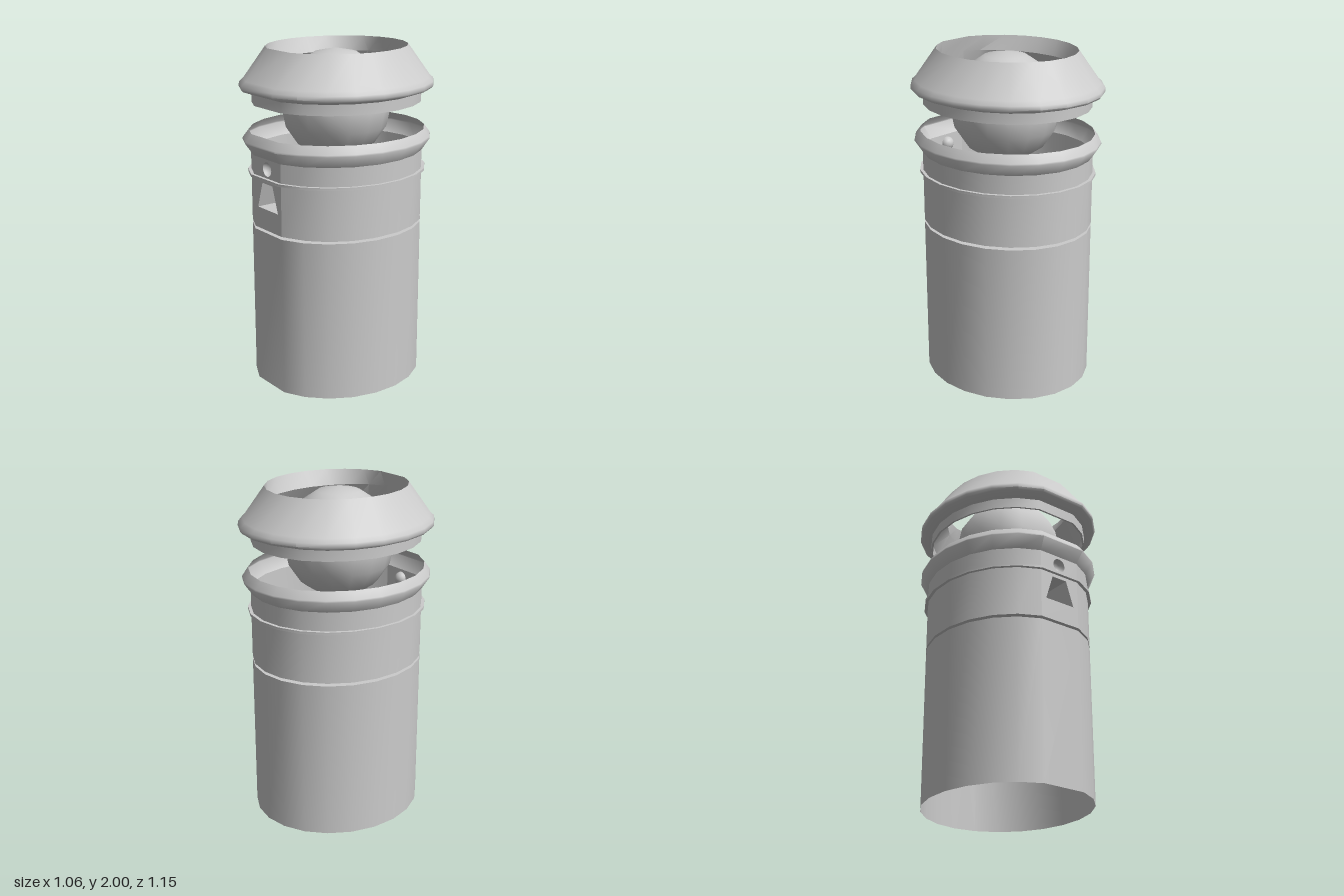
import * as THREE from 'three';
import { toCreasedNormals } from 'three/addons/utils/BufferGeometryUtils.js';

const material = new THREE.MeshStandardMaterial({ color: 0xcccccc, side: THREE.DoubleSide });
const STEP = (Math.PI * 2) / 22;
const CENTRE_Z = 0.01;
const DEPTH_RATIO = 1.1;

// Oval plan: 22 sides with the front corner left out, giving one wide flat front panel
const plan = [];
for (let i = 1; i <= 21; i++) plan.push([Math.sin(i * STEP), Math.cos(i * STEP)]);

// Sweeps a profile of [radiusX, y, radiusZ?] points around the oval plan
function ovalShell(profile, creaseAngle, openFront = false) {
  const positions = [];
  const index = [];
  const n = plan.length;
  for (const [rx, y, rz = rx * DEPTH_RATIO] of profile) {
    for (const [x, z] of plan) positions.push(x * rx, y, CENTRE_Z + z * rz);
  }
  for (let j = 0; j < profile.length - 1; j++) {
    for (let i = 0; i < (openFront ? n - 1 : n); i++) {
      const k = (i + 1) % n;
      const a = j * n + i, b = j * n + k, c = b + n, d = a + n;
      index.push(a, b, c, a, c, d);
    }
  }
  const geometry = new THREE.BufferGeometry();
  geometry.setAttribute('position', new THREE.Float32BufferAttribute(positions, 3));
  geometry.setIndex(index);
  return toCreasedNormals(geometry, creaseAngle);
}

export function createModel() {
  const group = new THREE.Group();
  const add = (name, geometry) => {
    const mesh = new THREE.Mesh(geometry, material);
    mesh.name = name;
    group.add(mesh);
    return mesh;
  };

  const R = 0.475;

  // Open lower tube with the narrow groove above it
  add('lowerTube', ovalShell([[R, 0], [R, 0.955], [0.435, 0.955], [0.435, 0.972], [R, 0.972]], 0.5));

  // Upper tube, with the front panel made separately
  add('upperTube', ovalShell([[R, 0.972], [R, 1.395]], 0.5, true));
  add('thinBand', ovalShell([[R, 1.27], [0.493, 1.27], [0.493, 1.285], [R, 1.285]], 0.5));
  add('collar', ovalShell([[R, 1.395], [0.52, 1.465], [0.517, 1.475], [0.485, 1.52]], 1.0));

  // Front panel with a trapezoid slot and a round hole
  const halfWidth = R * Math.sin(STEP);
  const frontZ = CENTRE_Z + R * DEPTH_RATIO * Math.cos(STEP);
  const panel = new THREE.Shape([
    new THREE.Vector2(-halfWidth, 0.972), new THREE.Vector2(halfWidth, 0.972),
    new THREE.Vector2(halfWidth, 1.395), new THREE.Vector2(-halfWidth, 1.395),
  ]);
  const slot = [[-0.1, 1.097], [0.1, 1.097], [0.05, 1.25], [-0.05, 1.25]];
  const slotPoints = slot.map(([x, y]) => new THREE.Vector2(x, y));
  const dentY = 1.338;
  const dentRadius = 0.042;
  panel.holes.push(new THREE.Path(slotPoints));
  panel.holes.push(new THREE.Path().absarc(0, dentY, dentRadius, 0, Math.PI * 2, true));
  add('frontPanel', new THREE.ShapeGeometry(panel, 8)).position.z = frontZ;

  // Walls and back of the slot, running straight into the tube
  const slotBackZ = 0.25;
  const walls = [];
  slot.forEach(([x0, y0], i) => {
    const [x1, y1] = slot[(i + 1) % slot.length];
    walls.push(x0, y0, frontZ, x1, y1, frontZ, x1, y1, slotBackZ);
    walls.push(x0, y0, frontZ, x1, y1, slotBackZ, x0, y0, slotBackZ);
  });
  const slotWalls = new THREE.BufferGeometry();
  slotWalls.setAttribute('position', new THREE.Float32BufferAttribute(walls, 3));
  slotWalls.computeVertexNormals();
  add('slotWalls', slotWalls);
  add('slotBack', new THREE.ShapeGeometry(new THREE.Shape(slotPoints))).position.z = slotBackZ;

  // Round dent above the slot
  const dent = new THREE.SphereGeometry(dentRadius, 16, 4, 0, Math.PI * 2, 0, Math.PI / 2);
  dent.rotateX(-Math.PI / 2);
  add('roundDent', dent).position.set(0, dentY, frontZ);

  // Ball floating in the opening
  add('ball', new THREE.SphereGeometry(0.324, 16, 8)).position.set(0, 1.66, 0.022);

  // Head ring: skirt, rounded rim, sloping top and inward lip
  add('headSkirt', ovalShell([[0.455, 1.74], [0.455, 1.68], [0.466, 1.68], [0.466, 1.745]], 0.5));
  add('headRing', ovalShell([
    [0.466, 1.742], [0.523, 1.762], [0.533, 1.775], [0.53, 1.798], [0.508, 1.82], [0.384, 2, 0.428],
  ], 0.85));
  add('headLip', ovalShell([[0.384, 2, 0.428], [0.34, 1.91, 0.455], [0.455, 1.74]], 0.5));

  return group;
}
